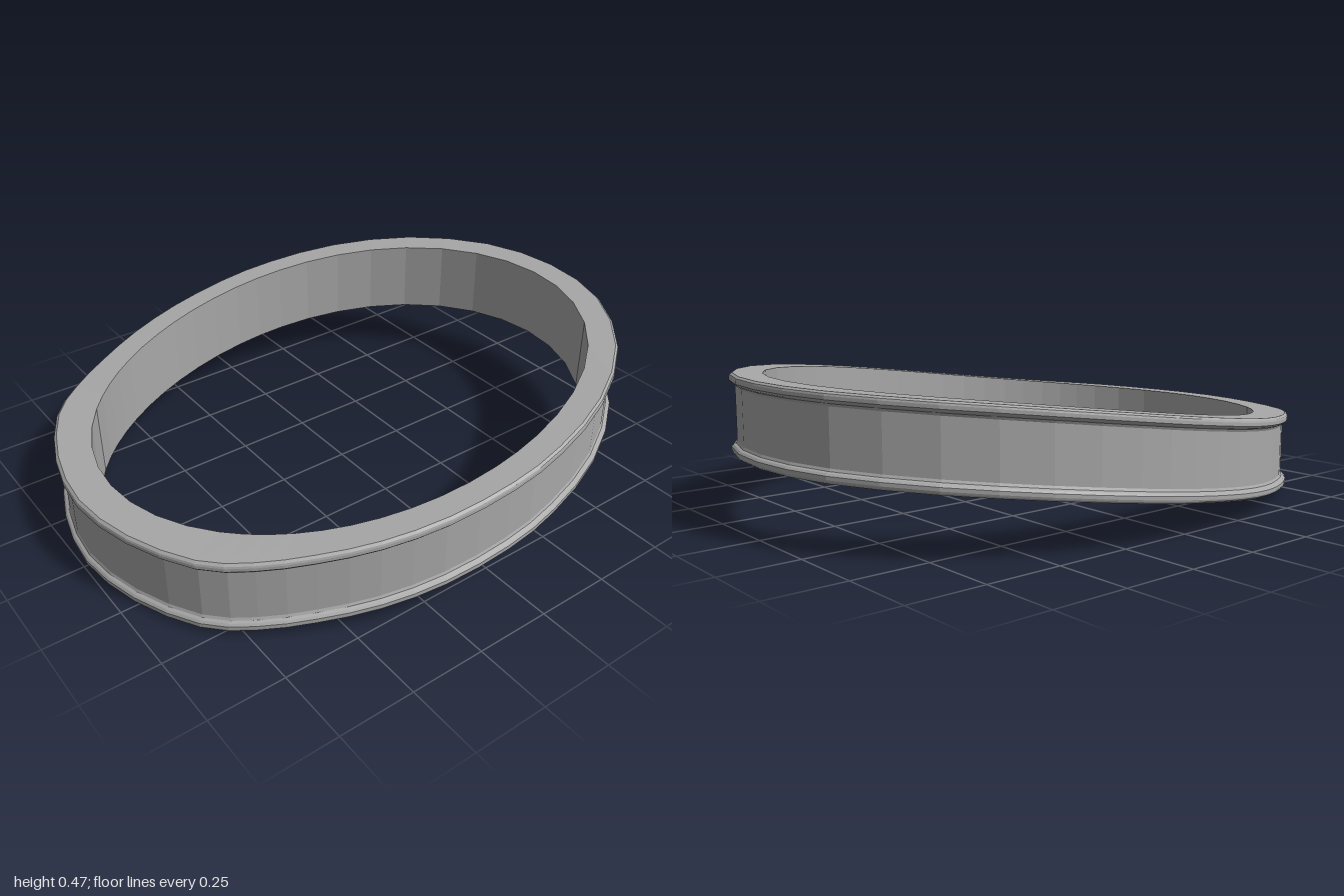
import * as THREE from 'three';

const SEGMENTS = 48;
const HEIGHT = 0.255;

// Half of the outer oval, from back to front, as x and z
const HALF = [
  [0, -1], [0.29, -0.94], [0.55, -0.75], [0.72, -0.49], [0.80, -0.23],
  [0.82, -0.02], [0.80, 0.21], [0.745, 0.41], [0.665, 0.58], [0.573, 0.73],
  [0.457, 0.85], [0.24, 0.95], [0, 0.99],
];

// Rise towards the back, a little steeper in the middle
const lift = (z) => 0.105 - 0.053 * z - 0.053 * Math.sin(z * Math.PI / 2);

// Outer edge of one flange: inset and height from the rim
const FLANGE = [
  [0.010, 0], [0.002, 0.006], [0, 0.012], [0, 0.023],
  [0.006, 0.030], [0.014, 0.034], [0.018, 0.042],
];

function ovalPoints() {
  const mirrored = HALF.slice(1, -1).reverse().map(([x, z]) => [-x, z]);
  const points = [...HALF, ...mirrored].map(([x, z]) => new THREE.Vector3(x, 0, z));
  const curve = new THREE.CatmullRomCurve3(points, true, 'catmullrom', 0.5);
  return Array.from({ length: SEGMENTS }, (_, i) => curve.getPoint(i / SEGMENTS));
}

// Cross-section at one point of the oval: inner foot, grooved outside, inner top
function section(p) {
  const angle = Math.atan2(p.x / 0.82, p.z / 0.995);
  const inner = [0.725 * Math.sin(angle), -0.013 + 0.8875 * Math.cos(angle)];
  const r = Math.hypot(p.x, p.z);
  const outer = ([inset, y]) => {
    const k = 1 - inset / r;
    return [p.x * k, y + lift(p.z * k), p.z * k];
  };
  const top = FLANGE.map(([inset, y]) => [inset, HEIGHT - y]).reverse();
  const foot = lift(inner[1]);
  return [
    [inner[0], foot, inner[1]],
    ...FLANGE.map(outer),
    ...top.map(outer),
    [inner[0], foot + HEIGHT, inner[1]],
  ];
}

function ringGeometry() {
  const sections = ovalPoints().map(section);
  const n = sections[0].length;
  const index = [];
  for (let i = 0; i < SEGMENTS; i++) {
    const next = (i + 1) % SEGMENTS;
    for (let j = 0; j < n; j++) {
      const k = (j + 1) % n;
      const a = i * n + j, b = next * n + j, c = i * n + k, d = next * n + k;
      index.push(a, c, b, b, c, d);
    }
  }
  const indexed = new THREE.BufferGeometry();
  indexed.setAttribute('position', new THREE.Float32BufferAttribute(sections.flat(2), 3));
  indexed.setIndex(index);
  // Separate faces keep the facets flat
  const geometry = indexed.toNonIndexed();
  geometry.computeVertexNormals();
  // Stand on the ground
  geometry.computeBoundingBox();
  geometry.translate(0, -geometry.boundingBox.min.y, 0);
  return geometry;
}

export function createModel() {
  const grey = new THREE.MeshStandardMaterial({ color: 0xa8a8a8 });
  grey.name = 'grey';
  const ring = new THREE.Mesh(ringGeometry(), grey);
  ring.name = 'flangedRing';
  const model = new THREE.Group();
  model.name = 'ovalRing';
  model.add(ring);
  return model;
}
